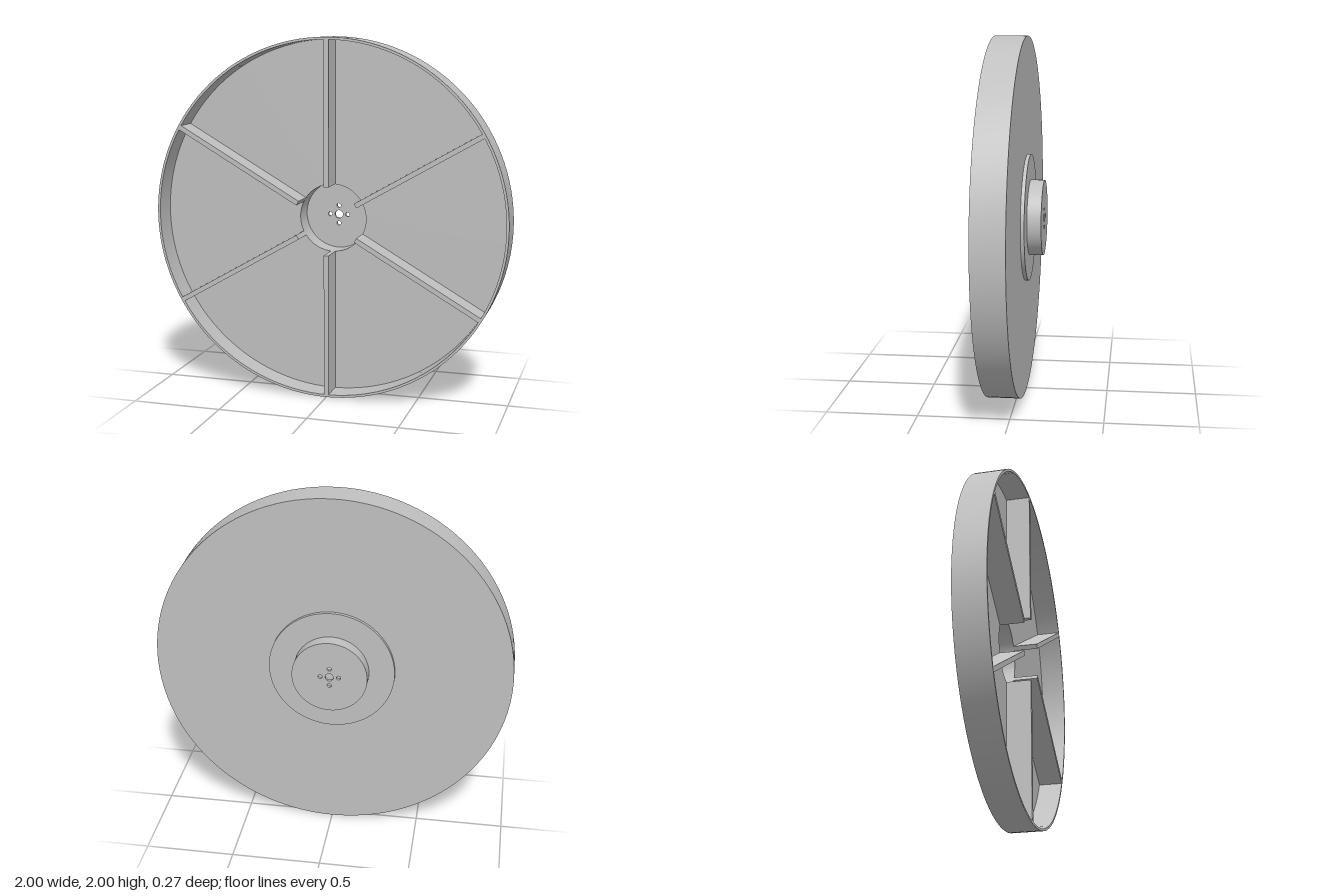
import * as THREE from 'three';
import { toCreasedNormals } from 'three/addons/utils/BufferGeometryUtils.js';

const FRONT = 0.137, FLOOR = 0, BACK = -0.04, CAP = -0.12; // z levels
const BORE = 0.19, HUB = 0.21, INNER = 0.986;             // radii
const SPOKES = 6, SPOKE_WIDTH = 0.027;

function circle(PathType, x, y, r) {
  const path = new PathType();
  path.absarc(x, y, r, 0, Math.PI * 2, false);
  return path;
}

export function createModel() {
  const wheel = new THREE.Group();
  wheel.name = 'wheel';
  wheel.position.y = 1;
  const grey = new THREE.MeshStandardMaterial({ color: 0xc0c0c0 });
  grey.name = 'grey';

  const add = (name, geometry) => {
    const mesh = new THREE.Mesh(geometry, grey);
    mesh.name = name;
    wheel.add(mesh);
    return mesh;
  };

  // Dish: rim, plate, back step and hub wall, as one turned section (radius, z)
  const profile = [
    [HUB, CAP], [HUB, -0.06], [0.352, -0.06], [0.352, BACK], [1, BACK], [1, FRONT],
    [INNER, FRONT], [INNER, FLOOR], [BORE, FLOOR], [BORE, CAP],
  ].map(([r, z]) => new THREE.Vector2(r, z));
  const dish = new THREE.LatheGeometry(profile, 128);
  dish.rotateX(Math.PI / 2);
  add('dish', toCreasedNormals(dish, 0.6));

  // Hub end plate with an axle hole and four bolt holes
  const plate = circle(THREE.Shape, 0, 0, HUB);
  plate.holes.push(circle(THREE.Path, 0, 0, 0.023));
  for (let i = 0; i < 4; i++) {
    const a = i * Math.PI / 2;
    plate.holes.push(circle(THREE.Path, 0.051 * Math.cos(a), 0.051 * Math.sin(a), 0.012));
  }
  const cap = new THREE.ExtrudeGeometry(plate, {
    depth: CAP + 0.137, bevelEnabled: false, curveSegments: 64,
  });
  cap.translate(0, 0, -0.137);
  add('hubEndPlate', toCreasedNormals(cap, 0.6));

  // Radial ribs between the hub bore and the rim
  const length = INNER + 0.004 - BORE;
  for (let i = 0; i < SPOKES; i++) {
    const rib = new THREE.BoxGeometry(SPOKE_WIDTH, length, FRONT - FLOOR);
    rib.translate(0, BORE + length / 2, (FRONT + FLOOR) / 2);
    rib.rotateZ(i * Math.PI * 2 / SPOKES);
    add('rib' + (i + 1), rib);
  }

  const model = new THREE.Group();
  model.name = 'dishWheel';
  model.add(wheel);
  return model;
}
